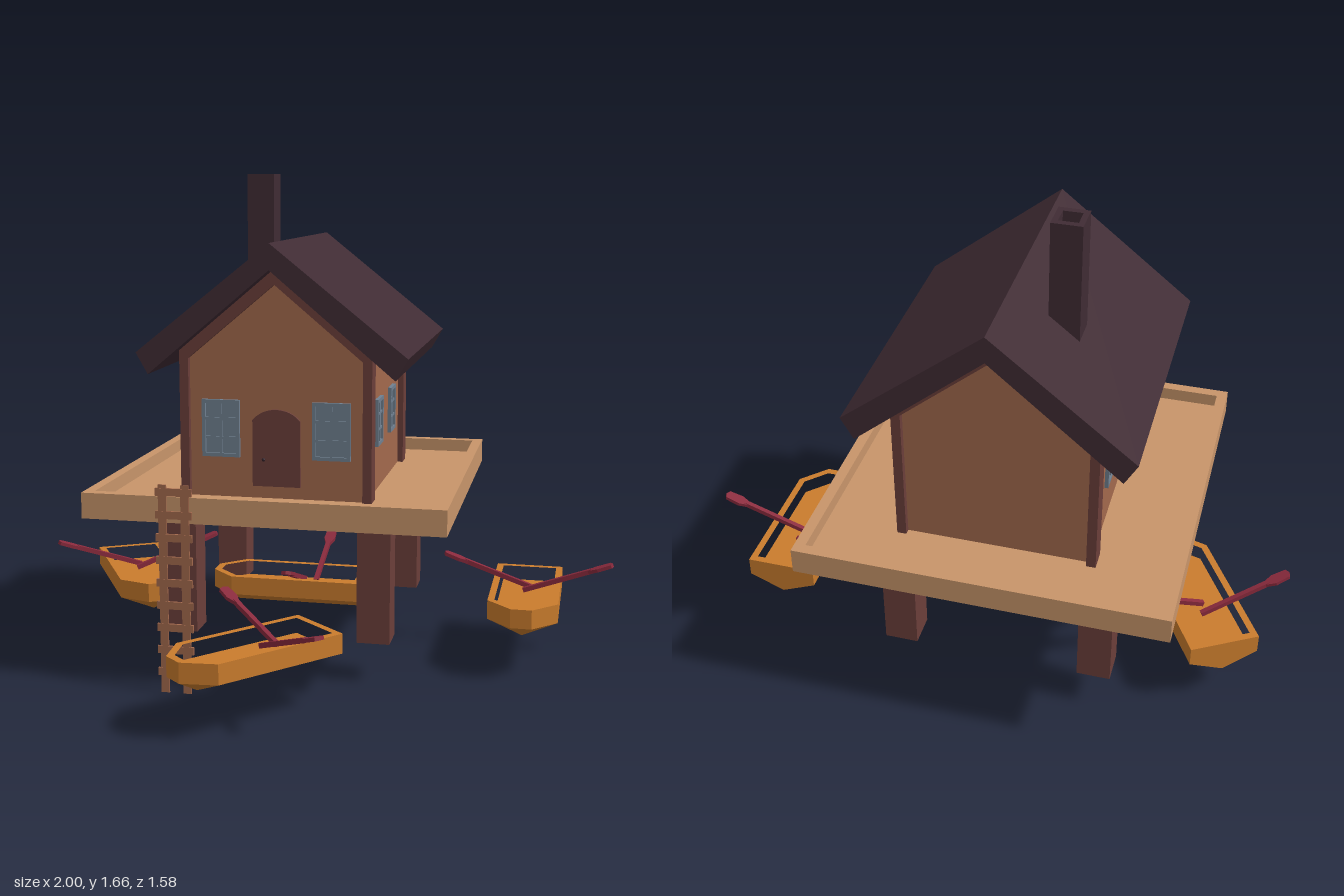
import * as THREE from 'three';

const mat = (name, color, side = THREE.FrontSide) => {
  const m = new THREE.MeshStandardMaterial({ color, side });
  m.name = name;
  return m;
};

export function createModel() {
  const root = new THREE.Group();
  root.name = 'stiltHouse';
  const wallWood = mat('wall wood', 0xa3694d);
  const darkWood = mat('dark wood', 0x6b3f3a);
  const deckWood = mat('deck wood', 0xc8956a);
  const roofing = mat('roofing', 0x402c34);
  const glass = mat('window glass', 0x708090);
  const hullPaint = mat('hull paint', 0xca7c2d);
  const oarPaint = mat('oar paint', 0x8a2a3d);
  const knobMetal = mat('knob metal', 0x33222a);

  const add = (parent, name, geo, material, x = 0, y = 0, z = 0) => {
    const m = new THREE.Mesh(geo, material);
    m.name = name;
    m.position.set(x, y, z);
    parent.add(m);
    return m;
  };
  const box = (parent, name, material, w, h, d, x, y, z) =>
    add(parent, name, new THREE.BoxGeometry(w, h, d), material, x, y, z);
  const poly = (pts) => new THREE.Shape(pts.map((p) => new THREE.Vector2(...p)));
  const extrude = (shape, depth) =>
    new THREE.ExtrudeGeometry(shape, { depth, bevelEnabled: false, curveSegments: 6 });
  // Plan outline given as (x, -z), raised upward by h
  const raise = (shape, h) => extrude(shape, h).rotateX(-Math.PI / 2);
  const rect = (w, d) => [[-w / 2, -d / 2], [w / 2, -d / 2], [w / 2, d / 2], [-w / 2, d / 2]];
  const ring = (outer, inner) => {
    const s = poly(outer);
    s.holes.push(poly(inner));
    return s;
  };

  // Deck with raised rim, and four stilts
  const CX = -0.1, CZ = -0.203;
  add(root, 'deckRim', raise(ring(rect(1.18, 1.19), rect(1.11, 1.12)), 0.085), deckWood, CX, 0.565, CZ);
  box(root, 'deckFloor', deckWood, 1.12, 0.04, 1.13, CX, 0.586, CZ);
  for (const sx of [-1, 1]) for (const sz of [-1, 1])
    box(root, 'stilt', darkWood, 0.11, 0.44, 0.107, CX + sx * 0.328, 0.355, CZ + sz * 0.328);

  // House: recessed walls between two gable frames
  const house = new THREE.Group();
  house.name = 'house';
  house.position.x = CX;
  root.add(house);
  const walls = poly([[-0.3, 0.6], [0.3, 0.6], [0.3, 1.09], [0, 1.34], [-0.3, 1.09]]);
  add(house, 'walls', extrude(walls, 0.725), wallWood, 0, 0, -0.565);
  const frame = poly([
    [-0.32, 0.6], [-0.29, 0.6], [-0.29, 1.067], [0, 1.31], [0.29, 1.067], [0.29, 0.6],
    [0.32, 0.6], [0.32, 1.1], [0, 1.37], [-0.32, 1.1],
  ]);
  for (const z of [0.112, -0.585])
    add(house, 'gableFrame', extrude(frame, 0.068), darkWood, 0, 0, z);
  const roof = poly([
    [-0.445, 1.09], [-0.405, 1.02], [0, 1.36], [0.405, 1.02], [0.445, 1.09], [0, 1.445],
  ]);
  add(house, 'roof', extrude(roof, 0.92), roofing, 0, 0, -0.67);
  add(house, 'chimney', raise(ring(rect(0.095, 0.1), rect(0.06, 0.06)), 0.44), roofing, -0.157, 1.22, -0.328);

  // Arched door
  const door = poly([[-0.08, 0], [0.08, 0], [0.08, 0.22]]);
  door.quadraticCurveTo(0.05, 0.255, 0, 0.256);
  door.quadraticCurveTo(-0.05, 0.255, -0.08, 0.22);
  add(house, 'door', extrude(door, 0.009), darkWood, 0.002, 0.647, 0.16);
  add(house, 'doorKnob', new THREE.SphereGeometry(0.006, 8, 6), knobMetal, -0.04, 0.737, 0.173);

  // Windows: pane, border and glazing bars, facing local +z
  const addWindow = (w, h, x, y, z, turn) => {
    const g = new THREE.Group();
    g.name = 'window';
    g.position.set(x, y, z);
    g.rotation.y = turn;
    house.add(g);
    box(g, 'pane', glass, w, h, 0.004, 0, 0, 0.002);
    add(g, 'border', extrude(ring(rect(w, h), rect(w - 0.024, h - 0.024)), 0.009), glass, 0, 0, 0.003);
    box(g, 'bar', glass, 0.008, h - 0.02, 0.006, 0, 0, 0.006);
    for (const s of [-1, 1]) box(g, 'bar', glass, w - 0.02, 0.008, 0.006, 0, s * h / 6, 0.006);
  };
  for (const s of [-1, 1]) {
    addWindow(0.127, 0.19, s * 0.185, 0.836, 0.16, 0);
    for (const z of [-0.055, -0.33]) addWindow(0.11, 0.16, s * 0.3, 0.84, z, s * Math.PI / 2);
  }

  // Flat ladder against the deck edge
  const ladder = new THREE.Group();
  ladder.name = 'ladder';
  ladder.position.set(-0.379, 0, 0.396);
  root.add(ladder);
  for (const s of [-1, 1]) box(ladder, 'rail', wallWood, 0.027, 0.69, 0.006, s * 0.037, 0.345, 0);
  for (let i = 0; i < 9; i++)
    box(ladder, 'rung', wallWood, 0.12, 0.025, 0.008, 0, 0.07 + i * 0.0745, 0);

  // Boat hull: vertical rim, floor and V keel, bow toward +z
  const W = 0.1175, B = 0.035, Y = 0.185;
  const outline = [[-W, 0.27], [W, 0.27], [W, -0.19], [B, -0.275], [-B, -0.275], [-W, -0.19]];
  const w = W - 0.023;
  const inner = [[-w, 0.247], [w, 0.247], [w, -0.18], [0.027, -0.25], [-0.027, -0.25], [-w, -0.18]];
  const rimGeo = raise(ring(outline, inner), 0.065);
  const floorGeo = raise(poly(inner), 0.015);
  const SL = [-W, Y, -0.27], SR = [W, Y, -0.27], ML = [-W, Y, 0.19], MR = [W, Y, 0.19];
  const BL = [-B, Y, 0.275], BR = [B, Y, 0.275], KS = [0, 0.135, -0.27], KM = [0, 0.135, 0.19];
  const keelGeo = new THREE.BufferGeometry();
  keelGeo.setAttribute('position', new THREE.Float32BufferAttribute([
    KS, SR, MR, KS, MR, KM, KM, MR, BR,
    KS, KM, ML, KS, ML, SL, KM, BL, ML,
    KM, BR, BL, KS, SL, SR,
  ].flat(), 3));
  keelGeo.computeVertexNormals();

  // Oar pointing along +x with a flat flared blade
  const bladeGeo = raise(poly([
    [0.235, -0.008], [0.268, -0.02], [0.318, -0.017], [0.325, 0], [0.318, 0.017], [0.268, 0.02], [0.235, 0.008],
  ]), 0.012);
  const addOar = (boat, side, z) => {
    const oar = new THREE.Group();
    oar.name = 'oar';
    oar.position.set(-side * 0.012, 0.221, z);
    oar.rotation.set(0, side > 0 ? 0 : Math.PI, 0.338);
    boat.add(oar);
    box(oar, 'shaft', oarPaint, 0.25, 0.016, 0.016, 0.125, 0, 0);
    add(oar, 'blade', bladeGeo, oarPaint, 0, -0.006, 0);
  };

  // Four boats: x, z, heading
  for (const [x, z, heading] of [
    [0.7025, -0.2, 0], [-0.092, 0.555, -0.72], [-0.695, -0.208, 0.523], [-0.14, -0.22, -Math.PI / 2],
  ]) {
    const boat = new THREE.Group();
    boat.name = 'rowboat';
    boat.position.set(x, 0, z);
    boat.rotation.y = heading;
    root.add(boat);
    add(boat, 'hullSides', rimGeo, hullPaint, 0, Y, 0);
    add(boat, 'boatFloor', floorGeo, hullPaint, 0, Y, 0);
    add(boat, 'keel', keelGeo, hullPaint);
    addOar(boat, 1, -0.05);
    addOar(boat, -1, -0.095);
  }
  return root;
}
